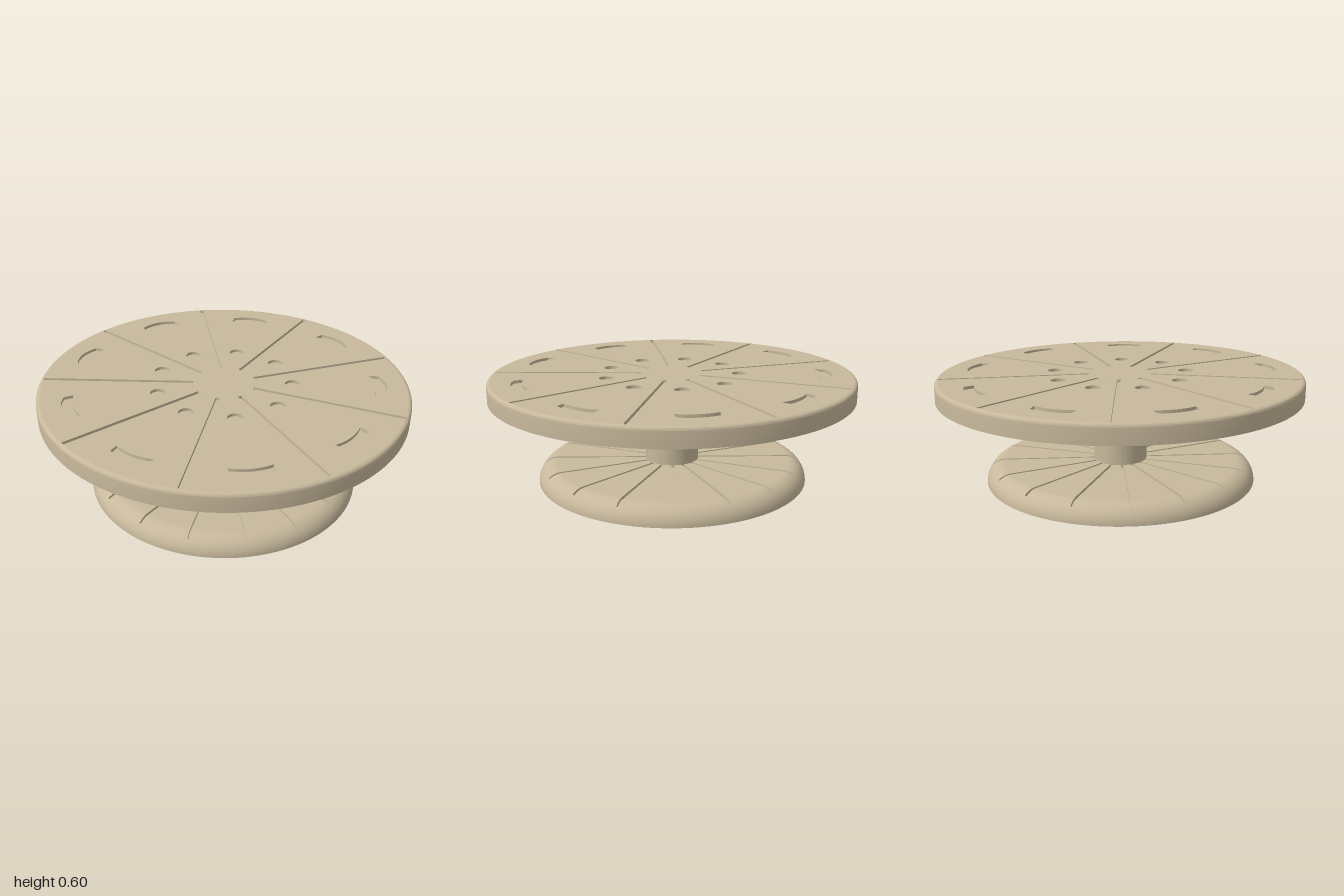
import * as THREE from 'three';
import { toCreasedNormals } from 'three/addons/utils/BufferGeometryUtils.js';

const V = (x, y) => new THREE.Vector2(x, y);
const clay = new THREE.MeshStandardMaterial({ color: 0xc8b99c });
clay.name = 'warm beige';

function add(group, name, geometry) {
  const mesh = new THREE.Mesh(geometry, clay);
  mesh.name = name;
  group.add(mesh);
  return mesh;
}

const lathe = (points, segments = 128) =>
  toCreasedNormals(new THREE.LatheGeometry(points, segments), 0.6);

// Quarter-round profile from the side (t = from) to the top (t = to)
function fillet(cx, cy, rx, ry, from, to, steps) {
  return Array.from({ length: steps + 1 }, (_, i) => {
    const t = from + ((to - from) * i) / steps;
    return V(cx + rx * Math.cos(t), cy + ry * Math.sin(t));
  });
}

// Domed foot whose radial grooves run over the shoulder and stop short of the rim
function footGeometry() {
  const count = 16, cols = 12, halfWidth = 0.007, depth = 0.014;
  const tEnd = 0.85, top = Math.PI / 2;
  const plain = [V(0, 0), V(0.75, 0), ...fillet(0.65, 0, 0.1, 0.1, 0, tEnd, 7)];
  const grooved = [...fillet(0.65, 0, 0.1, 0.1, tEnd, top, 8), V(0.14, 0.1)];
  const points = [...plain, ...grooved];
  const geometry = new THREE.LatheGeometry(points, count * cols);
  const pos = geometry.attributes.position;
  const step = (Math.PI * 2) / count;

  for (let i = 0; i <= count * cols; i++) {
    const sector = Math.floor(i / cols), c = i % cols;
    points.forEach((p, j) => {
      let { x: r, y } = p;
      const a = Math.asin(halfWidth / Math.max(r, 0.1));
      // columns 0 and 1 are the groove floor, the rest span the rib between grooves
      const local = c === 0 ? -a : a + ((step - 2 * a) * Math.max(c - 2, 0)) / (cols - 3);
      if (c < 2 && j >= plain.length) {
        const t = r > 0.65 ? Math.atan2(y, r - 0.65) : top;
        r -= depth * Math.cos(t);
        y -= depth * Math.sin(t);
      }
      const phi = sector * step + local;
      pos.setXYZ(i * points.length + j, r * Math.sin(phi), y, r * Math.cos(phi));
    });
  }
  return toCreasedNormals(geometry, 0.6);
}

// One wedge of the turntable top with a round recess and a curved finger slot
function wedgeGeometry(inner, outer, thickness) {
  const h = Math.PI / 9, mid = Math.PI / 2, halfGroove = 0.01;
  const ai = h - Math.asin(halfGroove / inner), ao = h - Math.asin(halfGroove / outer);
  const shape = new THREE.Shape();
  shape.absarc(0, 0, outer, mid - ao, mid + ao, false);
  shape.absarc(0, 0, inner, mid + ai, mid - ai, true);
  shape.closePath();

  const recess = new THREE.Path();
  recess.absarc(0, 0.37, 0.041, 0, Math.PI * 2, true);

  const slot = new THREE.Path();
  slot.moveTo(-0.108, 0.797);
  slot.quadraticCurveTo(0, 0.837, 0.108, 0.797);
  slot.lineTo(0.104, 0.848);
  slot.quadraticCurveTo(0, 0.906, -0.104, 0.848);
  slot.closePath();

  shape.holes.push(recess, slot);
  const geometry = new THREE.ExtrudeGeometry(shape, {
    depth: thickness, bevelEnabled: false, curveSegments: 28,
  });
  return geometry.rotateX(Math.PI / 2);
}

export function createModel() {
  const model = new THREE.Group();
  model.name = 'turntable';

  add(model, 'foot', footGeometry());

  // Column and the wider collar that turns on it
  add(model, 'column', lathe([V(0.148, 0.08), V(0.148, 0.3)], 96));
  add(model, 'collar', lathe([
    V(0.14, 0.286), V(0.155, 0.286),
    ...fillet(0.155, 0.306, 0.02, 0.02, -Math.PI / 2, 0, 6),
    V(0.175, 0.49),
  ], 96));

  // Plate body with rounded rim and a sunken floor beneath the wedges
  const yTop = 0.587, yFloor = 0.571, inner = 0.17, outer = 0.98;
  const plate = new THREE.Group();
  plate.name = 'plate';
  model.add(plate);
  add(plate, 'plateBody', lathe([
    V(0, 0.486), V(1, 0.486),
    ...fillet(outer, 0.567, 0.02, 0.02, 0, Math.PI / 2, 6),
    V(outer, yFloor), V(0, yFloor),
  ], 160));

  // Nine wedges separated by straight grooves, around a centre disc
  const wedge = wedgeGeometry(inner, outer, yTop - yFloor);
  for (let i = 0; i < 9; i++) {
    const mesh = add(plate, 'plateWedge', wedge);
    mesh.position.y = yTop;
    mesh.rotation.y = (i * Math.PI * 2) / 9;
  }
  const hub = add(plate, 'centreDisc',
    new THREE.CylinderGeometry(inner, inner, yTop - yFloor, 72));
  hub.position.y = (yTop + yFloor) / 2;

  // The whole stand leans very slightly to one side
  model.rotation.z = -0.0085;
  model.position.set(-0.005, 0.0064, 0);
  const root = new THREE.Group();
  root.name = 'rotatingStand';
  root.add(model);
  return root;
}
